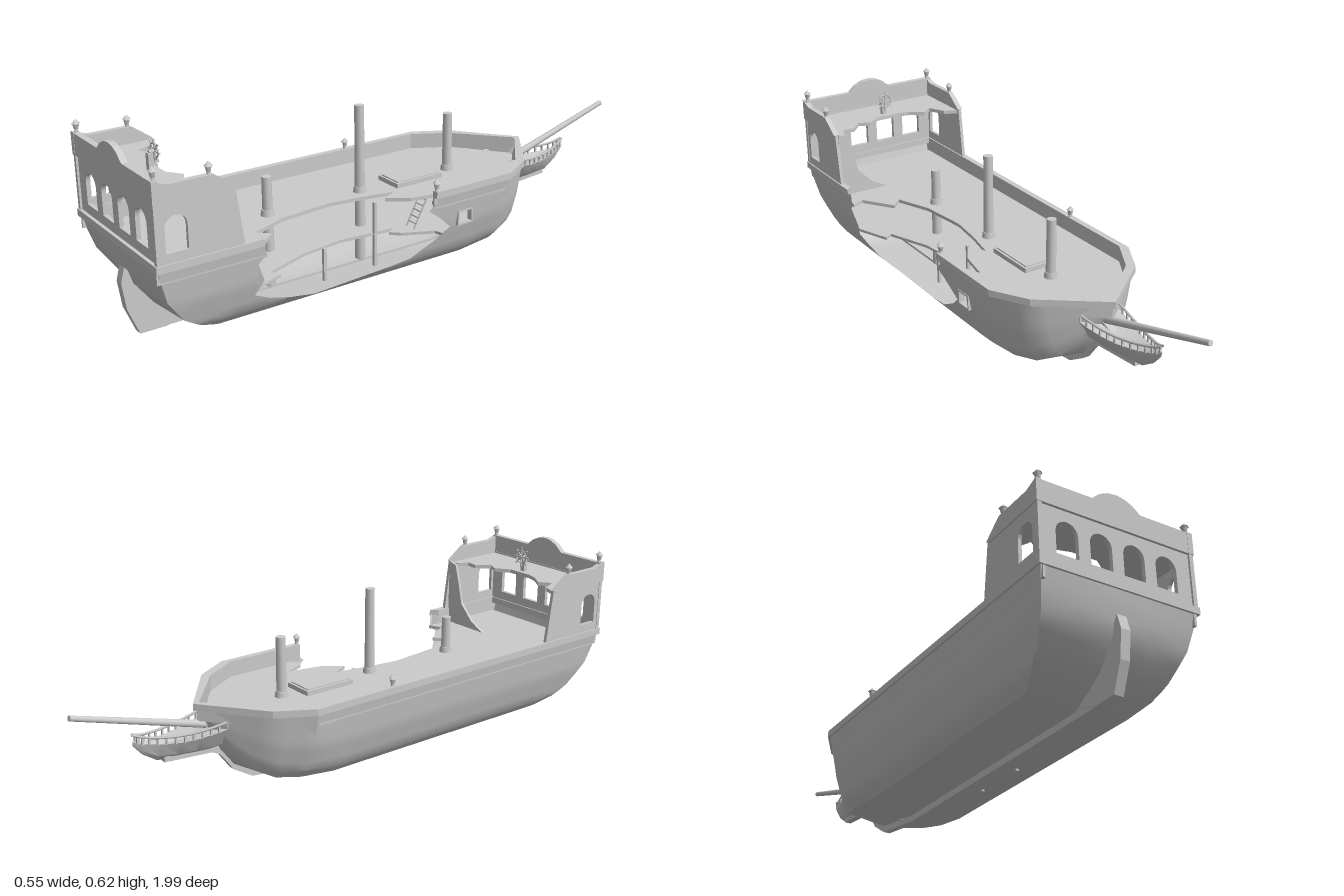
import * as THREE from 'three';
import { mergeGeometries, toCreasedNormals } from 'three/addons/utils/BufferGeometryUtils.js';

const mat = new THREE.MeshStandardMaterial({ color: 0xcccccc, side: THREE.DoubleSide });
const lerp = THREE.MathUtils.lerp;

// Piecewise linear lookup through [key, value] pairs
function along(pairs, k) {
  if (k <= pairs[0][0]) return pairs[0][1];
  for (let i = 1; i < pairs.length; i++) {
    const [a, va] = pairs[i - 1], [b, vb] = pairs[i];
    if (k <= b) return lerp(va, vb, (k - a) / (b - a));
  }
  return pairs[pairs.length - 1][1];
}
function shapeOf(points, holes = []) {
  const s = new THREE.Shape(points.map(p => new THREE.Vector2(...p)));
  s.holes.push(...holes);
  return s;
}
// Arched window opening
function arch(cx, w, y0, y1) {
  const r = w / 2, p = new THREE.Path();
  p.moveTo(cx - r, y0).lineTo(cx + r, y0).lineTo(cx + r, y1 - r);
  p.absarc(cx, y1 - r, r, 0, Math.PI, false);
  return p.lineTo(cx - r, y0);
}
const extrude = (shape, depth) => new THREE.ExtrudeGeometry(shape, { depth, bevelEnabled: false, curveSegments: 6 });

// Hull surface: z along the ship, t from the centreline (0) to the rail (1)
const TOP = 0.31;
const SIDE = [[0.02, 0], [0.043, 0.173], [0.08, 0.21], [0.18, 0.245], [0.31, 0.27]];
const BOTTOM = [[-0.57, 0.3], [-0.55, 0.25], [-0.5, 0.15], [-0.45, 0.085], [-0.38, 0.045], [-0.17, 0.02],
  [0.76, 0.02], [0.83, 0.05], [0.89, 0.09], [0.95, 0.17], [0.975, 0.25], [0.985, 0.309]];
const PLAN = [[-0.57, 0], [-0.42, 0.74], [-0.3, 1]];
function hullPoint(z, t) {
  const b = along(BOTTOM, z), chine = Math.min(TOP, b + 0.023);
  const y = t < 0.08 ? lerp(b, chine, t / 0.08) : lerp(chine, TOP, (t - 0.08) / 0.92);
  if (z > 0.7) return [along(SIDE, chine) * Math.min(1, t / 0.08) + (t > 0.08 ? along(SIDE, y) - along(SIDE, chine) : 0), y, z];
  return [along(SIDE, 0.02 + 0.29 * t) * along(PLAN, z), y, z];
}
const ROWS = [0, 0.04, 0.08, 0.14, 0.207, 0.32, 0.43, 0.5, 0.57, 0.64, 0.71, 0.85, 1];
const STATIONS = [-0.57, -0.56, -0.55, -0.525, -0.5, -0.475, -0.45, -0.42, -0.38, -0.34, -0.3, -0.24, -0.17, -0.15, -0.1, -0.07];
const STERN = [0.66, 0.71, 0.76, 0.8, 0.83, 0.86, 0.89, 0.92, 0.95, 0.965, 0.975, 0.985];
function patch(side, us, ts, at, skip = () => false) {
  const pos = [], idx = [], n = ts.length;
  us.forEach(u => ts.forEach(t => {
    const [x, y, z] = hullPoint(...at(u, t));
    pos.push(side * x, y, z);
  }));
  for (let i = 0; i < us.length - 1; i++) for (let j = 0; j < n - 1; j++) {
    if (skip((us[i] + us[i + 1]) / 2, (ts[j] + ts[j + 1]) / 2)) continue;
    const a = i * n + j, b = a + 1, c = a + n, d = c + 1;
    if (side > 0) idx.push(a, b, c, b, d, c); else idx.push(a, c, b, b, c, d);
  }
  const g = new THREE.BufferGeometry();
  g.setAttribute('position', new THREE.Float32BufferAttribute(pos, 3));
  g.setIndex(idx);
  return g.toNonIndexed();
}

export function createModel() {
  const ship = new THREE.Group();
  const add = (name, geo, x = 0, y = 0, z = 0, parent = ship) => {
    const m = new THREE.Mesh(geo, mat);
    m.name = name;
    m.position.set(x, y, z);
    parent.add(m);
    return m;
  };
  const box = (name, w, h, d, x, y, z, parent) => add(name, new THREE.BoxGeometry(w, h, d), x, y, z, parent);
  // Horizontal slab from (x, z) points, and upright panel from (z, y) points
  const slab = (name, pts, top, thick) => add(name, extrude(shapeOf(pts), thick).rotateX(Math.PI / 2), 0, top, 0);
  const panel = (name, pts, xMax, thick, holes) => add(name, extrude(shapeOf(pts, holes), thick).rotateY(-Math.PI / 2), xMax, 0, 0);
  const rod = (name, a, b, r0, r1, sides = 8) => {
    const p = new THREE.Vector3(...a), q = new THREE.Vector3(...b), d = q.clone().sub(p);
    const m = add(name, new THREE.CylinderGeometry(r1, r0, d.length(), sides), ...p.clone().add(q).multiplyScalar(0.5));
    m.quaternion.setFromUnitVectors(new THREE.Vector3(0, 1, 0), d.normalize());
    return m;
  };

  // Hull, with a gunport and a great breach in the left side
  const plain = (z, t) => [z, t];
  const mids = Array.from({ length: 38 }, (_, i) => -0.07 + i * 0.73 / 37);
  const breach = [[-0.07, 0.55], [-0.02, 0.41], [0.07, 0.24], [0.25, 0.17], [0.42, 0.1], [0.6, 0.28], [0.66, 0.38]];
  const foreEdge = [[0.55, -0.07], [0.7, -0.02], [0.83, 0.03], [0.92, 0], [1, 0.01]];
  const aftEdge = [[0.38, 0.66], [0.55, 0.635], [0.76, 0.66], [0.86, 0.635], [1, 0.645]];
  const hull = mergeGeometries([
    patch(-1, [...STATIONS, 0.1, 0.3, 0.5, ...STERN], ROWS, plain),
    patch(1, STATIONS, ROWS, plain, (z, t) => z > -0.15 && z < -0.1 && t > 0.57 && t < 0.71),
    patch(1, mids, ROWS, (z, t) => [z, Math.min(t, along(breach, z))]),
    patch(1, [0, 1], foreEdge.map(e => e[0]), (u, t) => [lerp(-0.07, along(foreEdge, t), u), t]),
    patch(1, [0, 1], aftEdge.map(e => e[0]), (u, t) => [lerp(along(aftEdge, t), 0.66, u), t]),
    patch(1, STERN, ROWS, plain),
  ]);
  add('hull', toCreasedNormals(hull, 0.5));
  for (const s of [-1, 1]) {
    box('gunportFrame', 0.02, 0.006, 0.062, 0.247, 0.205 + s * 0.023, -0.125);
    box('gunportFrame', 0.02, 0.05, 0.006, 0.247, 0.205, -0.125 + s * 0.028);
  }

  // Keel, stem and rudder
  panel('keel', [[0.93, 0], [-0.17, 0], [-0.38, 0.025], [-0.45, 0.068], [-0.5, 0.135], [-0.53, 0.15], [-0.7, 0.163],
    [-0.7, 0.18], [-0.54, 0.24], [-0.5, 0.17], [-0.44, 0.1], [-0.36, 0.05], [-0.17, 0.03], [0.8, 0.03]], 0.012, 0.024);
  panel('rudder', [[0.975, 0.228], [0.988, 0.178], [0.976, 0.09], [0.94, 0], [0.85, 0], [0.78, 0.025], [0.88, 0.085], [0.95, 0.2]], 0.016, 0.032);

  // Rails and bulwark linings, broken at the breach
  const ring = (name, out, inn, top, thick) => {
    const bow = (s, w) => [[0, -0.31 - w], [s * (w - 0.07), -0.152 - w], [s * w, -0.03 - w]];
    const strip = (s, z1) => [...bow(s, out), [s * out, z1], [s * inn, z1], ...bow(s, inn).reverse()];
    slab(name, strip(-1, 0.985), top, thick);
    slab(name, strip(1, 0.01), top, thick);
    slab(name, [[out, 0.645], [out, 0.985], [inn, 0.985], [inn, 0.67]], top, thick);
  };
  ring('rail', 0.275, 0.253, 0.325, 0.023);
  ring('bulwark', 0.262, 0.254, 0.304, 0.04);
  box('sternRail', 0.55, 0.023, 0.03, 0, 0.3135, 0.975);

  // Decks with splintered edges
  slab('mainDeck', [[-0.26, 0.965], [-0.26, -0.29], [-0.185, -0.41], [0, -0.545], [0.185, -0.41], [0.26, -0.29], [0.26, -0.03],
    [0.21, -0.02], [0.175, -0.1], [0.15, 0.02], [0.1, 0.09], [0.07, 0.03], [0.045, 0.15], [0.03, 0.27], [0.05, 0.45], [0.1, 0.58],
    [0.14, 0.54], [0.215, 0.65], [0.26, 0.63], [0.26, 0.965]], 0.27, 0.012);
  slab('lowerDeck', [[-0.225, 0.9], [-0.23, -0.2], [-0.17, -0.31], [0, -0.46], [0.17, -0.31], [0.23, -0.2], [0.23, -0.06],
    [0.19, -0.05], [0.14, 0.05], [0.11, 0.08], [0.09, 0.05], [0.07, 0.25], [0.09, 0.4], [0.15, 0.56], [0.18, 0.54], [0.225, 0.66], [0.225, 0.9]], 0.15, 0.01);
  slab('quarterdeck', [[-0.26, 0.97], [-0.26, 0.74], [-0.21, 0.76], [-0.18, 0.82], [-0.14, 0.79], [-0.09, 0.825], [-0.05, 0.835],
    [0.04, 0.835], [0.09, 0.8], [0.13, 0.82], [0.17, 0.775], [0.21, 0.78], [0.23, 0.74], [0.26, 0.73], [0.26, 0.97]], 0.505, 0.013);
  for (const [y, z, h] of [[0.203, 0.12, 0.11], [0.085, 0.12, 0.12], [0.085, 0.32, 0.12]]) box('deckPost', 0.011, h, 0.011, 0.085, y, z);

  // Hatch and ladder
  box('hatchCoaming', 0.11, 0.016, 0.19, 0, 0.278, -0.09);
  box('hatchCover', 0.094, 0.006, 0.174, 0, 0.287, -0.09);
  for (const x of [0.1, 0.14]) rod('ladderRail', [x, 0.15, 0.0], [x, 0.262, -0.06], 0.004, 0.004, 4);
  for (let i = 1; i < 6; i++) box('ladderRung', 0.04, 0.004, 0.008, 0.12, 0.15 + i * 0.019, -i * 0.0102);

  // Stern cabin
  const sideOutline = [[0.705, 0.305], [0.982, 0.305], [0.985, 0.575], [0.94, 0.557], [0.8, 0.557], [0.732, 0.51]];
  for (const s of [-1, 1]) {
    panel('cabinSide', sideOutline, s > 0 ? 0.27 : -0.258, 0.012, [arch(0.92, 0.07, 0.355, 0.465)]);
    panel('cabinBulwark', [[0.732, 0.51], [0.745, 0.502], [0.988, 0.502], [0.988, 0.576], [0.94, 0.559], [0.8, 0.559]], s > 0 ? 0.275 : -0.256, 0.019);
    box('cornerPost', 0.014, 0.27, 0.014, s * 0.265, 0.44, 0.979);
  }
  const windows = [-0.173, -0.058, 0.056, 0.171].map(x => arch(x, 0.075, 0.357, 0.467));
  add('sternWall', extrude(shapeOf([[-0.262, 0.305], [0.262, 0.305], [0.262, 0.51], [-0.262, 0.51]], windows), 0.014), 0, 0, 0.965);
  add('sternBulwark', extrude(shapeOf([[-0.27, 0.502], [0.27, 0.502], [0.27, 0.574], [0.085, 0.574], [0.058, 0.597], [0.03, 0.61], [0, 0.614],
    [-0.03, 0.61], [-0.058, 0.597], [-0.085, 0.574], [-0.27, 0.574]]), 0.02), 0, 0, 0.967);
  add('brokenBulkhead', extrude(shapeOf([[0.26, 0.27], [0.26, 0.51], [0.225, 0.5], [0.207, 0.44], [0.187, 0.357], [0.13, 0.3], [0.07, 0.27]]), 0.01), 0, 0, 0.726);

  // Masts, snapped at different heights
  for (const [z, top] of [[-0.25, 0.475], [0.12, 0.57], [0.475, 0.4]]) {
    rod('mast', [0, 0.025, z], [0, top, z], 0.018, 0.016, 12);
    add('mastCollar', new THREE.CylinderGeometry(0.02, 0.023, 0.02, 12), 0, 0.28, z);
  }

  // Bowsprit and beakhead
  rod('bowsprit', [0, 0.24, -0.52], [0, 0.381, -0.997], 0.013, 0.009, 10);
  const beak = [[-0.48, 0.08, 0.25, 0.16], [-0.54, 0.073, 0.24, 0.158], [-0.6, 0.062, 0.232, 0.162], [-0.66, 0.048, 0.23, 0.166],
    [-0.72, 0.03, 0.234, 0.172], [-0.77, 0.013, 0.243, 0.205], [-0.8, 0.004, 0.254, 0.24]];
  const pos = [], idx = [];
  beak.forEach(([z, w, t, b]) => [[0, b], [0.55, lerp(b, t, 0.3)], [1, t], [0.85, t], [0, t - 0.012], [-0.85, t], [-1, t], [-0.55, lerp(b, t, 0.3)]]
    .forEach(([k, y]) => pos.push(k * w, y, z)));
  for (let i = 0; i < beak.length - 1; i++) for (let j = 0; j < 8; j++) {
    const a = i * 8 + j, b = i * 8 + (j + 1) % 8;
    idx.push(a, b, a + 8, b, b + 8, a + 8);
  }
  const beakGeo = new THREE.BufferGeometry();
  beakGeo.setAttribute('position', new THREE.Float32BufferAttribute(pos, 3));
  beakGeo.setIndex(idx);
  add('beakhead', toCreasedNormals(beakGeo, 0.5));
  for (const s of [-1, 1]) {
    const rail = new THREE.CatmullRomCurve3(beak.map(([z, w, t]) => new THREE.Vector3(s * w * 0.95, t + 0.022, z)));
    add('beakRail', new THREE.TubeGeometry(rail, 16, 0.0045, 5));
    for (let i = 1; i < 13; i++) {
      const p = rail.getPoint(i / 13);
      box('baluster', 0.006, 0.024, 0.006, p.x, p.y - 0.012, p.z);
    }
  }

  // Lanterns
  const lantern = (x, y, z) => {
    const g = new THREE.Group();
    g.name = 'lantern';
    g.position.set(x, y, z);
    add('stem', new THREE.CylinderGeometry(0.005, 0.007, 0.012, 6), 0, 0.004, 0, g);
    add('glass', new THREE.CylinderGeometry(0.011, 0.007, 0.018, 6), 0, 0.017, 0, g);
    add('cap', new THREE.ConeGeometry(0.014, 0.015, 6), 0, 0.033, 0, g);
    ship.add(g);
  };
  for (const s of [-1, 1]) {
    lantern(s * 0.26, 0.575, 0.975);
    lantern(s * 0.265, 0.557, 0.81);
    lantern(s * 0.262, 0.325, 0.002);
  }

  // Steering wheel on its pedestal
  box('wheelPost', 0.018, 0.055, 0.016, 0, 0.53, 0.862);
  add('wheelRim', new THREE.TorusGeometry(0.024, 0.003, 5, 16), 0, 0.56, 0.846);
  add('wheelHub', new THREE.CylinderGeometry(0.006, 0.006, 0.024, 8).rotateX(Math.PI / 2), 0, 0.56, 0.852);
  for (let i = 0; i < 4; i++) box('wheelSpoke', 0.074, 0.004, 0.004, 0, 0.56, 0.846).rotation.z = i * Math.PI / 4;
  return ship;
}
